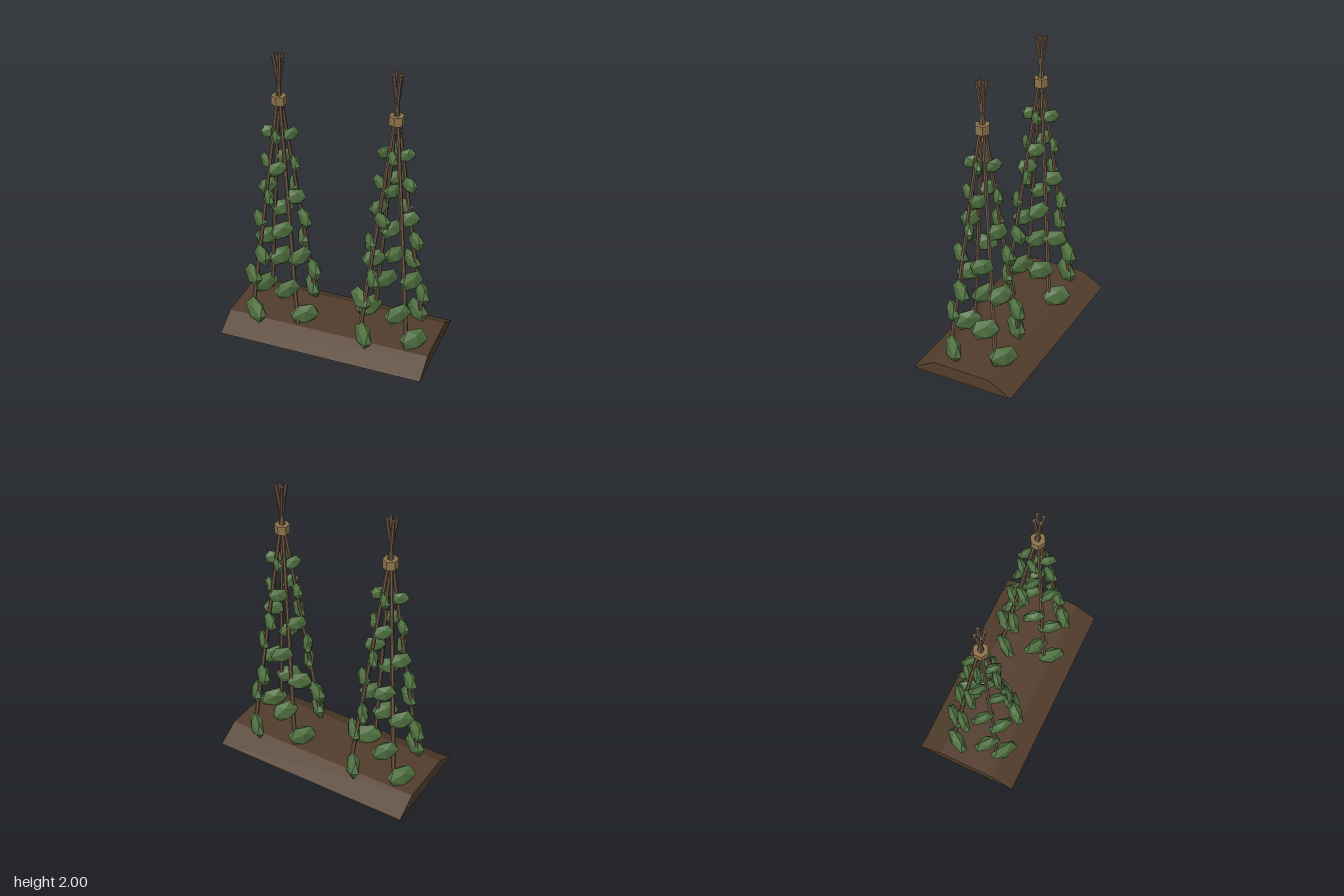
import * as THREE from 'three';

const mat = (name, color) => {
  const m = new THREE.MeshStandardMaterial({ color, flatShading: true });
  m.name = name;
  return m;
};

export function createModel() {
  const soil = mat('soil brown', 0x523d2c);
  const wood = mat('pole wood', 0x6b5645);
  const twine = mat('twine tan', 0x8c734a);
  const foliage = mat('leaf green', 0x4f7040);

  const model = new THREE.Group();
  model.name = 'plantingBed';
  const add = (parent, name, geometry, material) => {
    const mesh = new THREE.Mesh(geometry, material);
    mesh.name = name;
    parent.add(mesh);
    return mesh;
  };

  // seeded jitter in the range -1 to 1
  let seed = 7;
  const jitter = () => {
    seed = (seed * 16807) % 2147483647;
    return (seed / 2147483647) * 2 - 1;
  };

  // soil mound: trapezoid section run along x
  const section = new THREE.Shape([
    new THREE.Vector2(-0.36, 0.008), new THREE.Vector2(0.36, 0.008),
    new THREE.Vector2(0.2, 0.1), new THREE.Vector2(-0.2, 0.1),
  ]);
  const moundGeo = new THREE.ExtrudeGeometry(section, { depth: 1.44, bevelEnabled: false });
  moundGeo.translate(0, 0, -0.72).rotateY(Math.PI / 2);
  add(model, 'soilMound', moundGeo, soil);

  // poles lean inwards and cross at this height
  const foot = 0.18, crossing = 1.78;
  const offsetAt = (y) => foot * (1 - y / crossing);
  const up = new THREE.Vector3(0, 1, 0);
  const corners = [[-1, 1], [1, 1], [1, -1], [-1, -1]];
  const leafGeo = new THREE.IcosahedronGeometry(1, 0);

  for (const cx of [-0.393, 0.393]) {
    const trellis = new THREE.Group();
    trellis.name = cx < 0 ? 'rightTrellis' : 'leftTrellis';
    trellis.position.x = cx;
    model.add(trellis);

    for (const [sx, sz] of corners) {
      // pole
      const a = new THREE.Vector3(sx * foot, 0.002, sz * foot);
      const o = offsetAt(1.998);
      const b = new THREE.Vector3(sx * o, 1.998, sz * o);
      const dir = b.clone().sub(a);
      const pole = add(trellis, 'pole', new THREE.CylinderGeometry(0.012, 0.016, dir.length(), 6), wood);
      pole.position.copy(a).add(b).multiplyScalar(0.5);
      pole.quaternion.setFromUnitVectors(up, dir.normalize());

      // leaf clumps alternate to each side of the pole, shrinking upwards
      for (let i = 0; i < 7; i++) {
        const y = 0.155 + i * 0.2165;
        const r = 0.112 - i * 0.0078;
        const side = (i % 2 ? -1 : 1) * 0.055 * Math.SQRT1_2;
        const out = offsetAt(y);
        const leaf = add(trellis, 'leafClump', leafGeo, foliage);
        leaf.position.set(sx * out + sz * side, y, sz * out - sx * side);
        leaf.scale.set(r, r * 0.78, r * 0.42);
        leaf.rotation.set(jitter() * 0.12, Math.atan2(sx, sz) + jitter() * 0.25, jitter() * 0.25, 'YXZ');
      }
    }

    // twine wrapped where the poles meet
    add(trellis, 'twineBinding', new THREE.CylinderGeometry(0.05, 0.05, 0.06, 6), twine)
      .position.y = 1.69;
  }
  return model;
}
